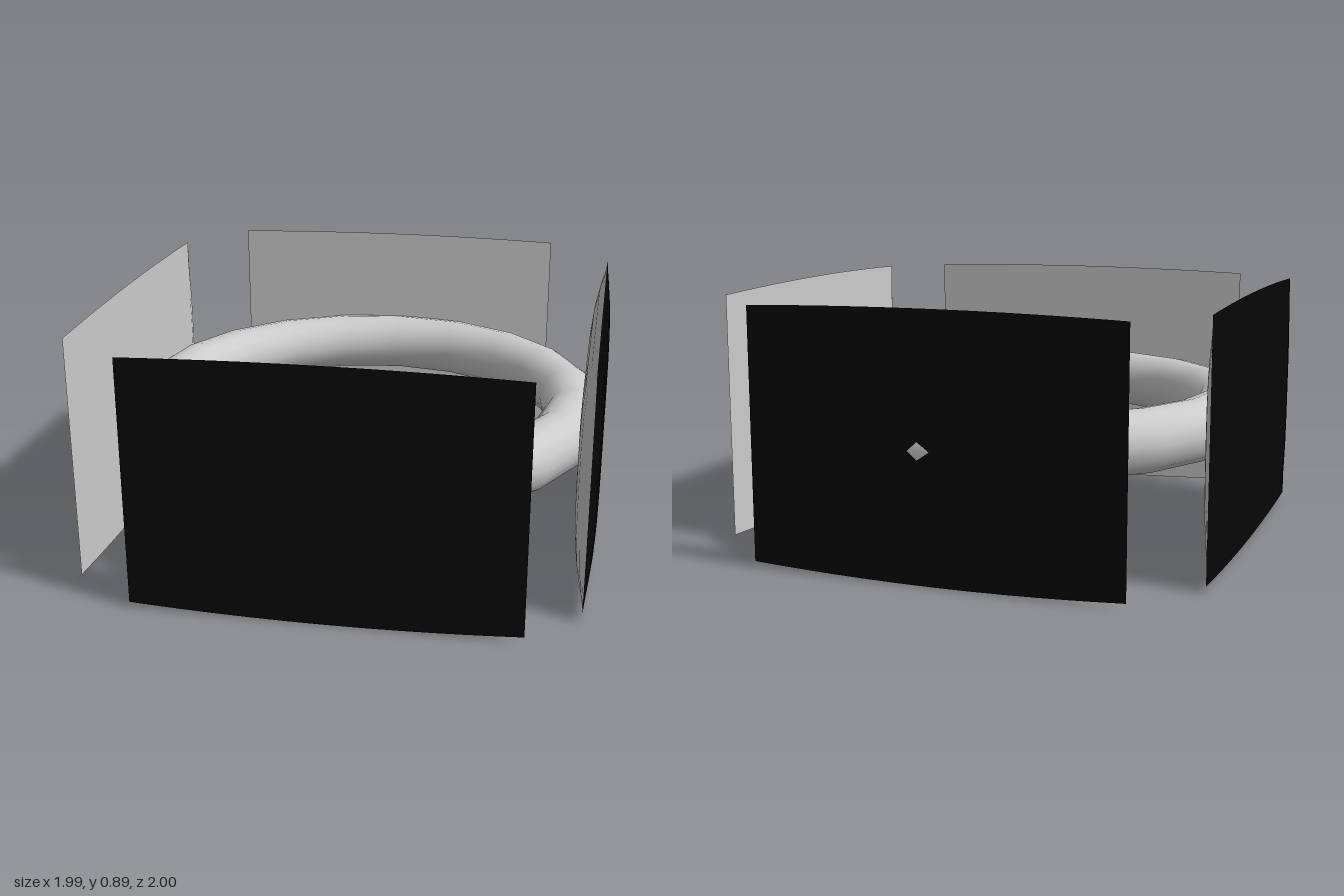
import * as THREE from 'three';

const grey = new THREE.MeshStandardMaterial({ color: 0xcccccc, side: THREE.DoubleSide });
const black = new THREE.MeshStandardMaterial({ color: 0x060606, side: THREE.DoubleSide });

// One pillowed face of a panel: flat plateau that thins out to a shared rim.
// Local x runs along the panel, local z is the bulge direction.
function pillowFace(length, bulge) {
  const geo = new THREE.PlaneGeometry(2, 2, 16, 12);
  const pos = geo.attributes.position;
  for (let i = 0; i < pos.count; i++) {
    const u = Math.sin(pos.getX(i) * Math.PI / 2); // denser towards the rim
    const v = Math.sin(pos.getY(i) * Math.PI / 2);
    const top = 0.893 - 0.012 * u * u;
    const bottom = 0.005 + 0.02 * u * u;
    const z = bulge * (1 - Math.abs(u) ** 8) * (1 - v ** 4);
    pos.setXYZ(i, u * length / 2, THREE.MathUtils.lerp(bottom, top, (v + 1) / 2), z);
  }
  return geo;
}

// Panel between two points on the floor plan, outer side to the right of travel
function makePanel(name, [x1, z1], [x2, z2]) {
  const length = Math.hypot(x2 - x1, z2 - z1);
  const panel = new THREE.Group();
  panel.name = name;

  const outer = new THREE.Mesh(pillowFace(length, 0.028), black);
  outer.name = 'outerFace';

  const innerGeo = pillowFace(length, 0.05).rotateY(Math.PI);
  const inner = new THREE.Mesh(innerGeo, grey);
  inner.name = 'innerFace';

  panel.add(outer, inner);
  panel.position.set((x1 + x2) / 2, 0, (z1 + z2) / 2);
  panel.rotation.y = -Math.atan2(z2 - z1, x2 - x1);
  return panel;
}

export function createModel() {
  const model = new THREE.Group();
  model.name = 'panelRing';

  // Central ring
  const ringGeo = new THREE.TorusGeometry(0.76, 0.107, 16, 20);
  ringGeo.rotateX(Math.PI / 2).rotateY(-0.03);
  const ring = new THREE.Mesh(ringGeo, grey);
  ring.name = 'ring';
  ring.position.set(-0.015, 0.45, -0.02);
  model.add(ring);

  // Four slanted panels around the ring
  const panels = [
    ['frontPanel', [-0.38, 1.0], [0.87, 0.62]],
    ['leftPanel', [0.99, 0.41], [0.625, -0.83]],
    ['backPanel', [0.33, -1.0], [-0.89, -0.62]],
    ['rightPanel', [-1.0, -0.33], [-0.64, 0.92]],
  ];
  for (const [name, from, to] of panels) model.add(makePanel(name, from, to));

  return model;
}
